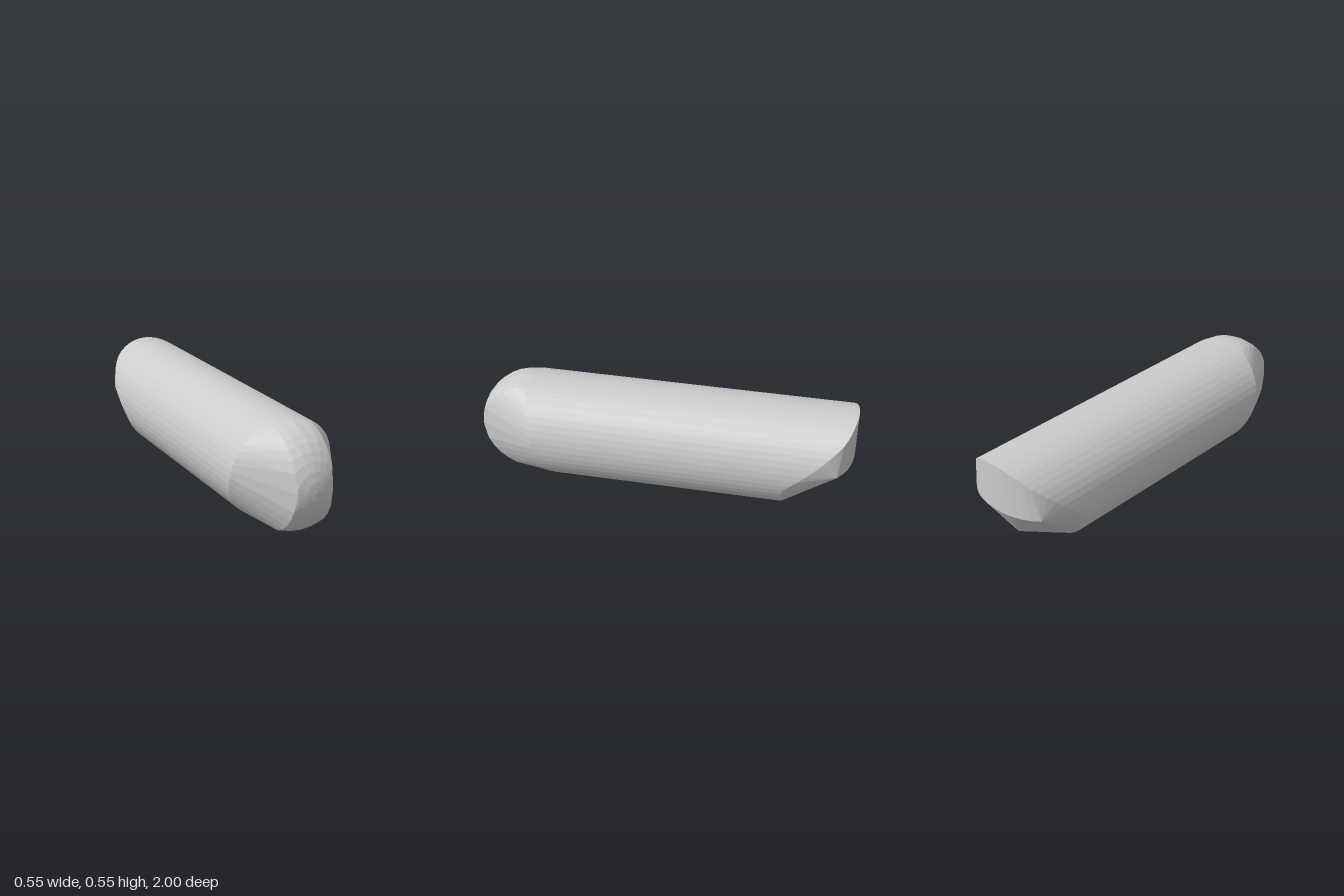
import * as THREE from 'three';
import { ConvexGeometry } from 'three/addons/geometries/ConvexGeometry.js';

const R = 0.277;        // body radius, also the height of its axis
const DOME_Z = 0.723;   // centre of the nose dome
const HALF = 0.1;       // half width of the nose strip
const NOSE_Y = 0.035;   // underside of the nose

// Linear interpolation through [y, z] pairs
function along(pairs, y) {
  for (let i = 1; i < pairs.length; i++) {
    const [y0, z0] = pairs[i - 1], [y1, z1] = pairs[i];
    if (y <= y1) return z0 + (z1 - z0) * (y - y0) / (y1 - y0);
  }
  return pairs[pairs.length - 1][1];
}

export function createModel() {
  const group = new THREE.Group();
  const points = [];
  const add = (x, y, z) => points.push(new THREE.Vector3(x, y, z));

  // Round body: both rims slant with height
  const frontRim = [[0, 0.55], [R, 0.66], [2 * R, 0.72]];
  const backRim = [[0, -0.65], [0.2, -0.65], [0.48, -0.95], [2 * R, -1]];
  const sides = 48;
  for (let i = 0; i < sides; i++) {
    if (i === 1 || i === 3 || i === sides - 1 || i === sides - 3) continue; // coarser belly
    const a = i / sides * Math.PI * 2;
    const x = R * Math.sin(a), y = R - R * Math.cos(a);
    add(x, y, along(frontRim, y));
    add(x, y, along(backRim, y));
  }

  // Nose: a slice of a sphere, narrow in x and trimmed below
  for (let ring = 0; ring < 9; ring++) {
    const t = ring * Math.PI / 18;
    const r = R * Math.sin(t), z = DOME_Z + R * Math.cos(t);
    for (let i = 0; i < 24; i++) {
      const a = i / 24 * Math.PI * 2;
      const x = r * Math.sin(a), y = R + r * Math.cos(a);
      if (Math.abs(x) < HALF && y > NOSE_Y) add(x, y, z);
      if (ring === 0) break;
    }
    // Edges of the slice
    if (r > HALF) {
      const dy = Math.sqrt(r * r - HALF * HALF);
      for (const x of [-HALF, HALF]) {
        add(x, R + dy, z);
        if (R - dy > NOSE_Y) add(x, R - dy, z);
      }
    }
  }
  // Lower lip of the nose
  for (const x of [-HALF, -HALF / 2, 0, HALF / 2, HALF]) {
    const h = R - NOSE_Y;
    add(x, NOSE_Y, DOME_Z + Math.sqrt(Math.max(0, R * R - h * h - x * x)));
  }

  // Tail: curved upright wall above a ridge that runs down to the keel point
  for (let i = -6; i <= 6; i++) {
    const x = i / 6 * 0.23;
    add(x, 0.3, -1 + x * x + 8 * x ** 4);
  }
  add(0, 0.1, -0.87);

  const body = new THREE.Mesh(
    new ConvexGeometry(points),
    new THREE.MeshStandardMaterial({ color: 0xcccccc, flatShading: true })
  );
  body.name = 'body';
  group.add(body);
  return group;
}
